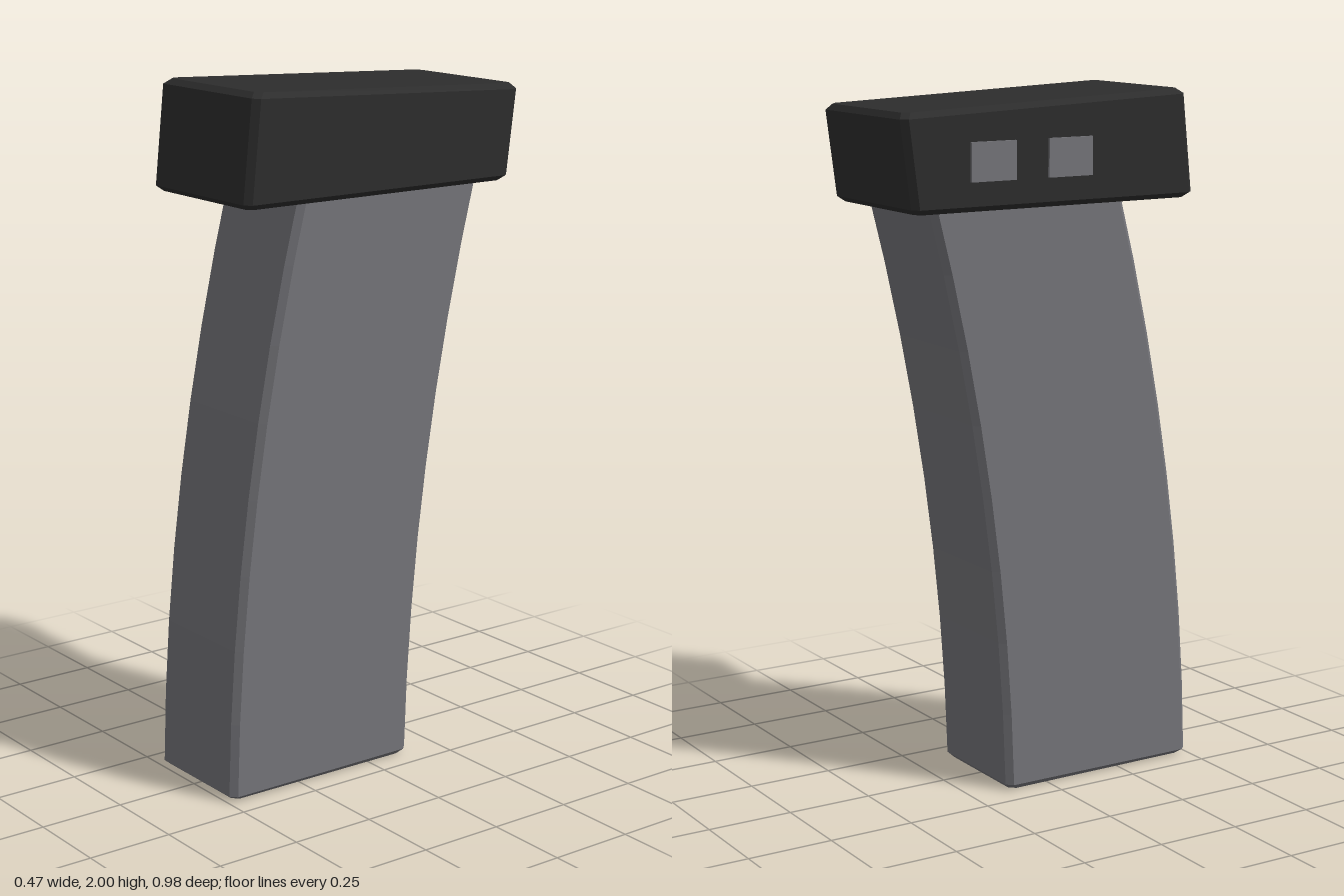
import * as THREE from 'three';

// Chamfered rectangular ring: half width w, front/back z and y, corner cut c
function ring(w, zf, zb, yf, yb, c) {
  const outline = [
    [w, zb + c], [w, zf - c], [w - c, zf], [c - w, zf],
    [-w, zf - c], [-w, zb + c], [c - w, zb], [w - c, zb],
  ];
  return outline.map(([x, z]) => [x, yb + (yf - yb) * (z - zb) / (zf - zb), z]);
}

// Skin a stack of rings (bottom to top) and close both ends, flat faceted
function loft(rings) {
  const pos = [];
  const tri = (a, b, c) => pos.push(...a, ...b, ...c);
  const n = rings[0].length;
  for (let i = 0; i < rings.length - 1; i++) {
    const lo = rings[i], hi = rings[i + 1];
    for (let j = 0; j < n; j++) {
      const k = (j + 1) % n;
      tri(lo[j], hi[j], hi[k]);
      tri(lo[j], hi[k], lo[k]);
    }
  }
  const first = rings[0], last = rings[rings.length - 1];
  for (let j = 1; j < n - 1; j++) {
    tri(first[0], first[j], first[j + 1]);
    tri(last[0], last[j + 1], last[j]);
  }
  const geo = new THREE.BufferGeometry();
  geo.setAttribute('position', new THREE.Float32BufferAttribute(pos, 3));
  geo.computeVertexNormals();
  return geo;
}

export function createModel() {
  const group = new THREE.Group();
  const grey = new THREE.MeshStandardMaterial({ name: 'bodyGrey', color: 0x75757a });
  const black = new THREE.MeshStandardMaterial({ name: 'capBlack', color: 0x2d2d2d });

  const add = (name, geo, mat) => {
    const mesh = new THREE.Mesh(geo, mat);
    mesh.name = name;
    group.add(mesh);
    return mesh;
  };

  // Curved body, sweeping backwards as it rises
  const sweep = (y) => 0.0226 * y + 0.0724 * y * y;
  const rings = [ring(0.17, 0.477, -0.122, 0.003, 0, 0.018)];
  const segments = 8;
  for (let i = 0; i <= segments; i++) {
    const y = 0.016 + (1.73 - 0.016) * i / segments;
    rings.push(ring(0.185, 0.493 - sweep(y), -0.138 - sweep(y) * 0.98, y, y, 0.018));
  }
  add('curvedBody', loft(rings), grey).position.x = 0.002;

  // Wedge-shaped cap with bevelled edges
  add('cap', loft([
    ring(0.214, 0.44, -0.442, 1.69, 1.69, 0.018),
    ring(0.23, 0.457, -0.46, 1.705, 1.705, 0.018),
    ring(0.23, 0.427, -0.492, 1.985, 1.947, 0.018),
    ring(0.214, 0.408, -0.478, 2.0, 1.964, 0.018),
  ]), black).position.x = 0.002;

  // Two thin square plates on the side of the cap
  for (const z of [-0.215, 0.033]) {
    add('sidePlate', new THREE.BoxGeometry(0.009, 0.108, 0.142), grey)
      .position.set(-0.231, 1.826, z);
  }
  return group;
}
